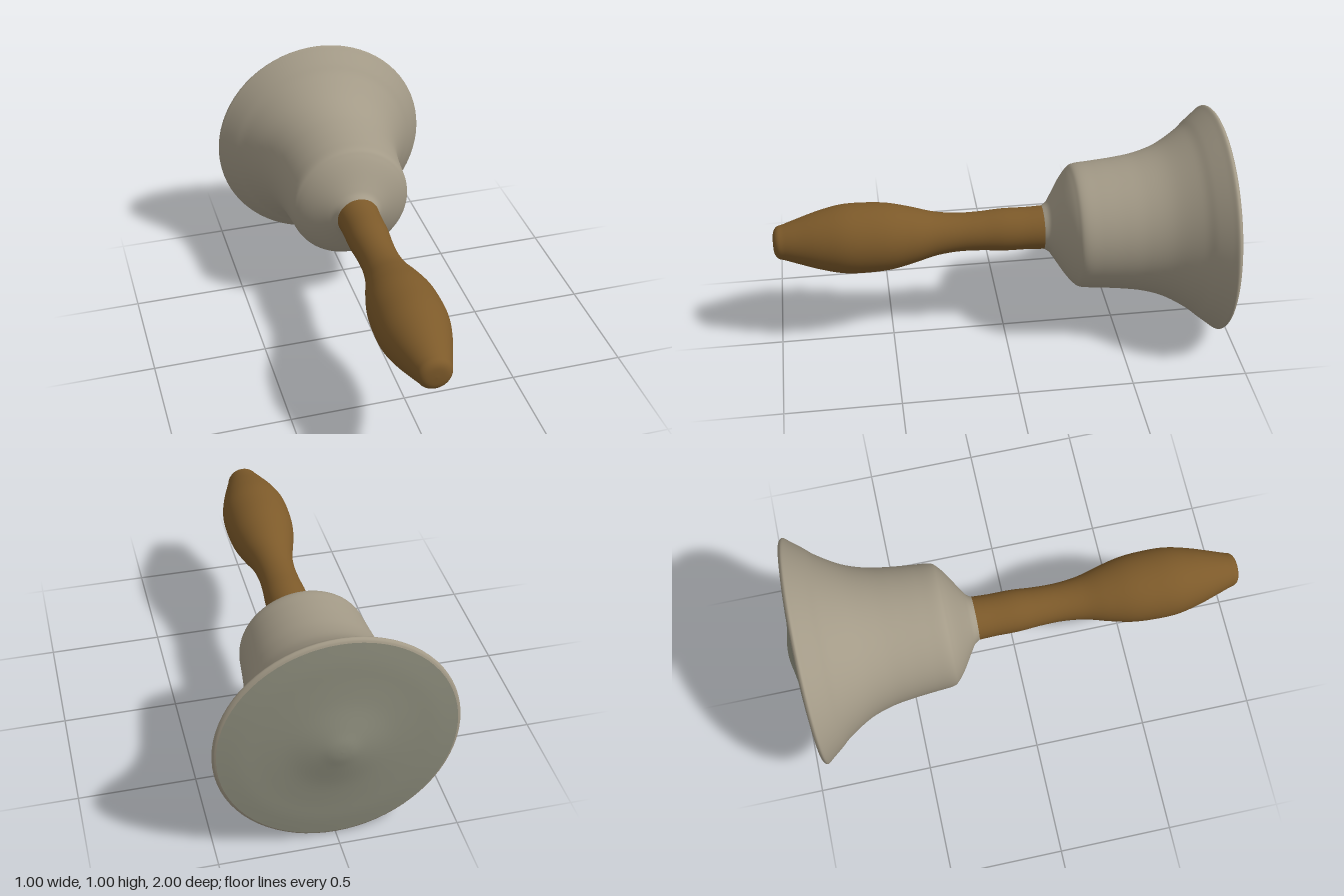
import * as THREE from 'three';

// Turns a smoothed profile of [radius, z] points around the bell's slightly tilted axis.
function turned(name, color, profile, steps) {
  const curve = new THREE.SplineCurve(profile.map(([r, z]) => new THREE.Vector2(r, z)));
  const points = curve.getPoints(steps);
  points.forEach((p) => { p.x = Math.max(p.x, 0); });
  const geometry = new THREE.LatheGeometry(points, 72);
  geometry.rotateX(Math.PI / 2);

  // Lean the axis a little towards the handle end
  const shear = new THREE.Matrix4().set(
    1, 0, -0.0155, -0.0145,
    0, 1, 0.008, 0.507,
    0, 0, 1, 0,
    0, 0, 0, 1
  );
  geometry.applyMatrix4(shear);

  const mesh = new THREE.Mesh(geometry, new THREE.MeshStandardMaterial({ color }));
  mesh.name = name;
  return mesh;
}

export function createModel() {
  const model = new THREE.Group();
  model.name = 'handBell';

  // Closed mouth, rising to a soft point in the middle
  model.add(turned('mouth', 0x8f8f7e, [
    [0, -1], [0.04, -0.997], [0.1, -0.985], [0.2, -0.967],
    [0.3, -0.957], [0.4, -0.95], [0.485, -0.94]
  ], 30));

  // Rolled rim, flared skirt, waist and sloping shoulder
  model.add(turned('bell', 0xa39a87, [
    [0.485, -0.94], [0.495, -0.934], [0.499, -0.922], [0.482, -0.9],
    [0.442, -0.85], [0.4, -0.8], [0.34, -0.7], [0.307, -0.6],
    [0.291, -0.5], [0.281, -0.4], [0.273, -0.325], [0.252, -0.295],
    [0.21, -0.262], [0.14, -0.218], [0.11, -0.197], [0.096, -0.175]
  ], 90));

  // Turned wooden handle with a slim neck and a swelling grip
  model.add(turned('handle', 0x7d5a2a, [
    [0.096, -0.175], [0.093, -0.1], [0.093, 0], [0.086, 0.1],
    [0.085, 0.2], [0.097, 0.3], [0.124, 0.4], [0.146, 0.5],
    [0.153, 0.6], [0.15, 0.7], [0.128, 0.8], [0.096, 0.9],
    [0.079, 0.95], [0.069, 0.98], [0.045, 0.996], [0, 1]
  ], 90));

  return model;
}
